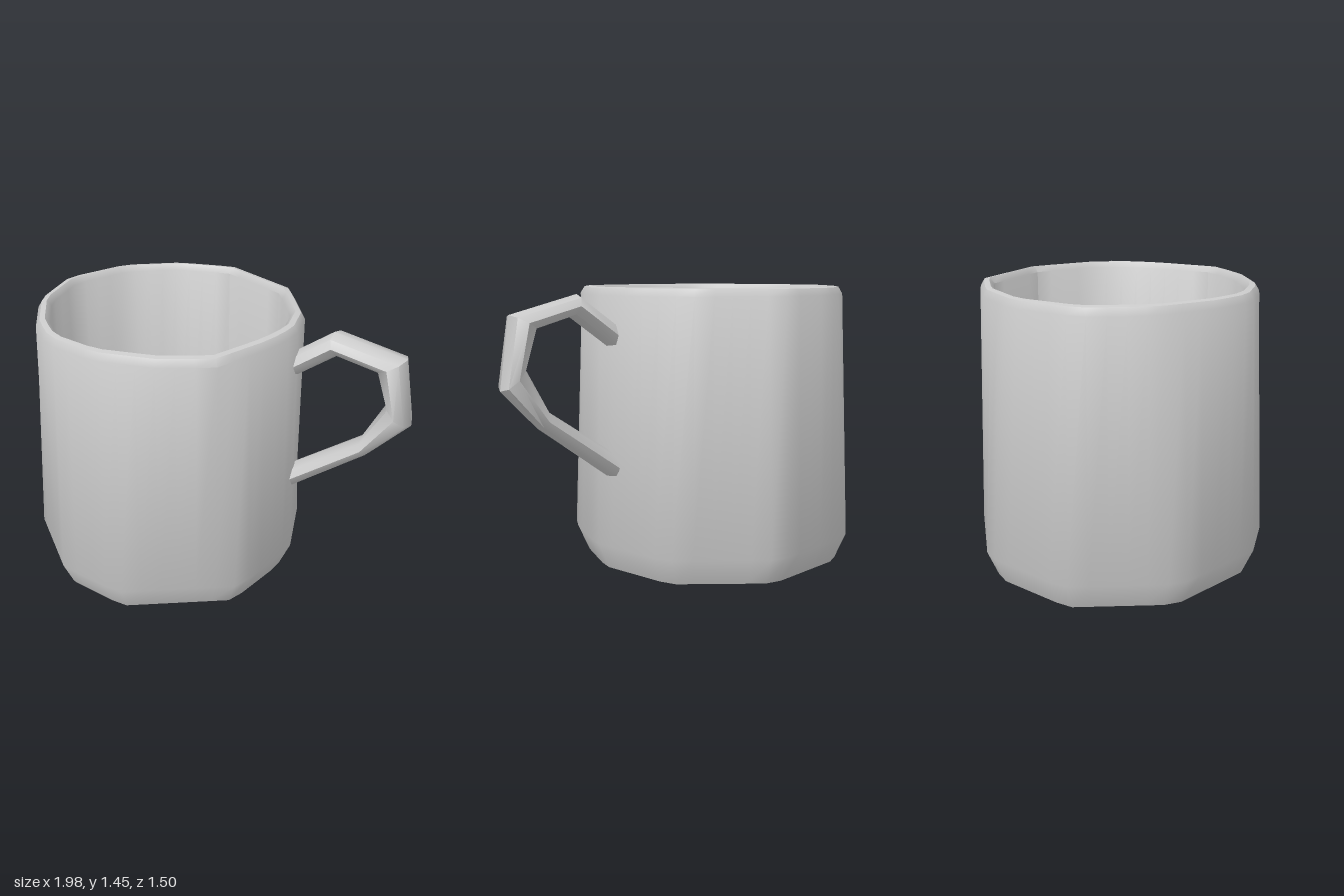
import * as THREE from 'three';
import { toCreasedNormals, mergeVertices } from 'three/addons/utils/BufferGeometryUtils.js';

const CX = -0.25; // the cup's axis
const SIDES = 48;

// Hand-shaped outlines [x, z] of the foot and the lip
const FOOT = [[0.48, 0.28], [0.03, 0.73], [-0.35, 0.755], [-0.81, 0.5], [-1, -0.02],
  [-0.81, -0.49], [-0.29, -0.76], [0.24, -0.59], [0.48, -0.17]];
const LIP = [[0.46, 0.05], [0.4, 0.39], [0.18, 0.57], [-0.1, 0.7], [-0.39, 0.71], [-0.58, 0.61],
  [-0.82, 0.38], [-0.95, 0.06], [-0.86, -0.3], [-0.64, -0.54], [-0.35, -0.69],
  [0.11, -0.61], [0.37, -0.36], [0.46, -0.16]];

// Distance from the axis to an outline in a given direction
function reach(outline, angle) {
  const dx = Math.cos(angle), dz = Math.sin(angle);
  for (let i = 0; i < outline.length; i++) {
    const [ax, az] = outline[i], [bx, bz] = outline[(i + 1) % outline.length];
    const ex = bx - ax, ez = bz - az, px = ax - CX;
    const det = dx * ez - dz * ex;
    const r = (px * ez - az * ex) / det;
    const t = (px * dz - az * dx) / det;
    if (r > 0 && t >= -1e-6 && t <= 1 + 1e-6) return r;
  }
  return 0.7;
}

function ring(outline, scale, y) {
  return Array.from({ length: SIDES }, (_, j) => {
    const a = (j / SIDES) * Math.PI * 2, r = reach(outline, a) * scale;
    return new THREE.Vector3(CX + Math.cos(a) * r, y, Math.sin(a) * r);
  });
}

// Skin over closed cross-sections
function loft(rings, crease) {
  const n = rings[0].length, index = [];
  for (let i = 0; i < rings.length - 1; i++) {
    for (let j = 0; j < n; j++) {
      const a = i * n + j, b = i * n + (j + 1) % n;
      index.push(a, a + n, b, b, a + n, b + n);
    }
  }
  const geo = new THREE.BufferGeometry().setFromPoints(rings.flat());
  geo.setIndex(index);
  geo.computeVertexNormals();
  return crease ? toCreasedNormals(geo, crease) : mergeVertices(geo);
}

// Flat disc filling a ring
function disc(points, y, up) {
  const shape = new THREE.Shape(points.map((p) => new THREE.Vector2(p.x, up ? -p.z : p.z)));
  const geo = new THREE.ShapeGeometry(shape);
  geo.rotateX(up ? -Math.PI / 2 : Math.PI / 2);
  return geo.translate(0, y, 0);
}

export function createModel() {
  const group = new THREE.Group();
  const material = new THREE.MeshStandardMaterial({ color: 0xcccccc, side: THREE.DoubleSide });
  const add = (name, geo) => {
    const mesh = new THREE.Mesh(geo, material);
    mesh.name = name;
    group.add(mesh);
  };

  // Wall: chamfered foot, tapering outside, rounded lip, inside
  const base = ring(FOOT, 0.92, 0.005);
  const floor = ring(LIP, 0.9, 0.12);
  add('cupWall', loft([
    base, ring(FOOT, 1, 0.14), ring(LIP, 1, 1.41), ring(LIP, 0.97, 1.445),
    ring(LIP, 0.93, 1.45), ring(LIP, 0.895, 1.42), floor,
  ], 0.8));
  add('cupBase', disc(base, 0.005, false));
  add('cupFloor', disc(floor, 0.12, true));

  // Handle: outer and inner edge [x, y] at each bend, leaning towards the back
  const bends = [
    [[0.41, 1.29], [0.41, 1.15]], [[0.59, 1.42], [0.63, 1.31]], [[0.94, 1.33], [0.81, 1.26]],
    [[0.99, 0.98], [0.87, 1.09]], [[0.81, 0.79], [0.76, 0.87]], [[0.41, 0.49], [0.41, 0.63]],
  ];
  const sections = bends.map(([o, i]) => {
    const mx = (o[0] + i[0]) / 2, my = (o[1] + i[1]) / 2;
    const hx = (o[0] - i[0]) / 2, hy = (o[1] - i[1]) / 2;
    return Array.from({ length: 8 }, (_, j) => {
      const a = (j / 8) * Math.PI * 2, c = Math.cos(a), s = -Math.sin(a) * 0.095;
      const x = mx + hx * c;
      return new THREE.Vector3(x + s * 0.2, my + hy * c, -0.24 - (x - 0.42) * 0.34 + s);
    });
  });
  add('handle', loft(sections, 0.9));
  return group;
}
